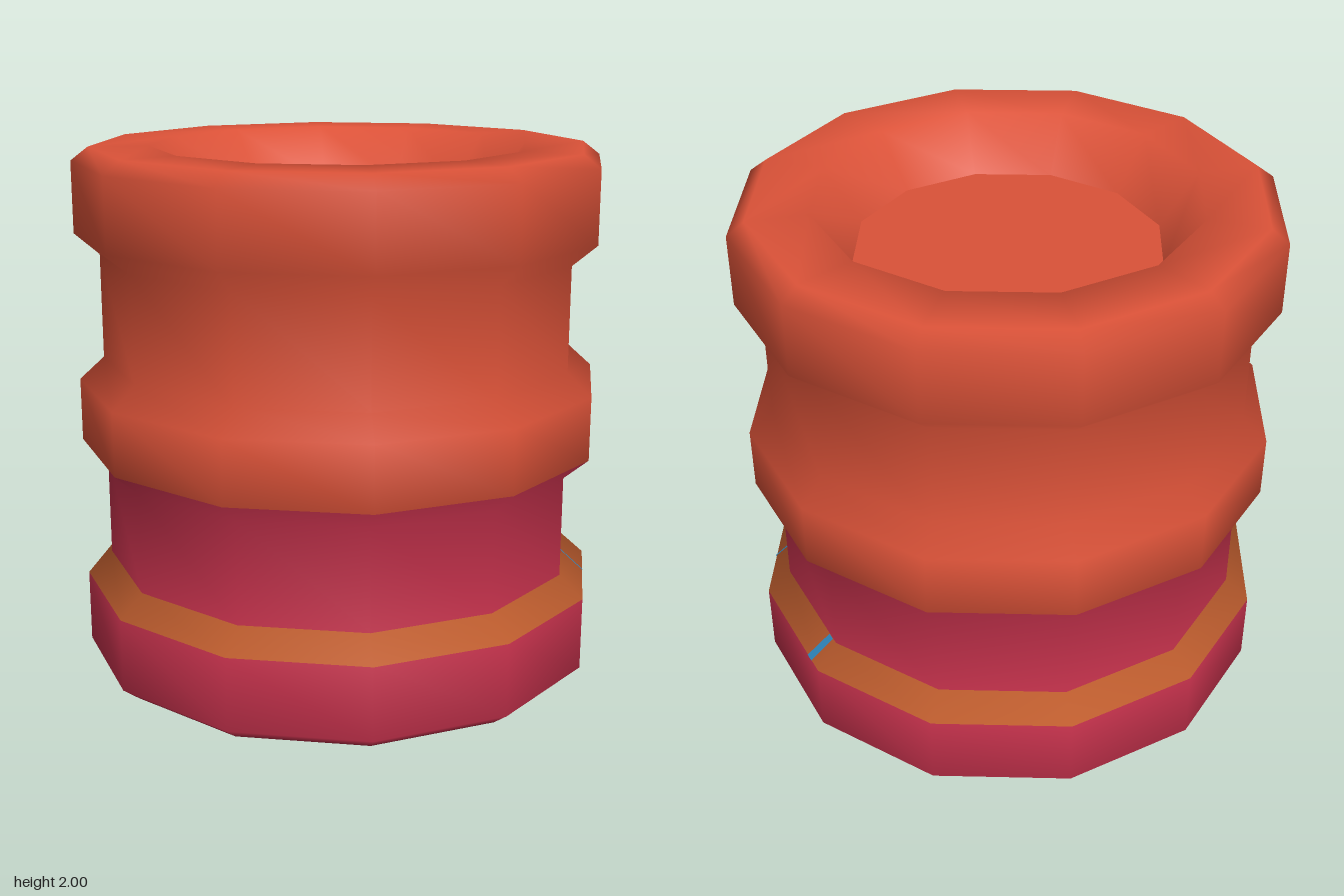
import * as THREE from 'three';

const SIDES = 12;

// Body outline from the lower recess, up the grooved wall, to the upper recess
const PROFILE = [
  [0.57, 0.2], [0.71, 0], [0.935, 0], [1, 0.05], [1, 0.33], [0.907, 0.415],
  [0.907, 0.8], [1, 0.88], [1, 1.12], [0.907, 1.205], [0.907, 1.6], [1, 1.68],
  [1, 1.95], [0.935, 2], [0.71, 2], [0.57, 1.8],
];

const paint = (name, color, side = THREE.FrontSide) => {
  const m = new THREE.MeshStandardMaterial({ color, side });
  m.name = name;
  return m;
};

export function createModel() {
  const group = new THREE.Group();
  const orange = paint('orange red', 0xdb5238);
  const crimson = paint('crimson', 0xc1304a);
  const amber = paint('burnt orange', 0xcc6432);
  const blue = paint('blue', 0x2f86bd, THREE.DoubleSide);

  const add = (name, geometry, material) => {
    const mesh = new THREE.Mesh(geometry, material);
    mesh.name = name;
    group.add(mesh);
    return mesh;
  };

  // One smooth lathe, cut into rings so that normals stay continuous across colours
  const body = new THREE.LatheGeometry(PROFILE.map(([r, y]) => new THREE.Vector2(r, y)), SIDES);
  const steps = PROFILE.length - 1;
  const ring = (from, to) => {
    const index = [];
    for (let i = 0; i < SIDES; i++) {
      for (let j = from; j < to; j++) {
        const a = i * PROFILE.length + j;
        const b = a + PROFILE.length;
        index.push(a, b, a + 1, b + 1, a + 1, b);
      }
    }
    const g = body.clone();
    g.setIndex(index);
    return g;
  };
  add('lowerBody', ring(0, 4), crimson);
  add('stripe', ring(4, 5), amber);
  add('middleGroove', ring(5, 7), crimson);
  add('upperBody', ring(7, steps), orange);

  // Flat floors of the two recesses
  const disc = (name, y, tilt, material) => {
    const g = new THREE.CircleGeometry(0.57, SIDES);
    g.rotateX(tilt);
    add(name, g, material).position.y = y;
  };
  disc('topRecessFloor', 1.8, -Math.PI / 2, orange);
  disc('bottomRecessFloor', 0.2, Math.PI / 2, crimson);

  // Small blue marks on the stripe; u runs across one facet, away from +x
  const stripePoint = (facet, u, top) => {
    const [r, y] = PROFILE[top ? 5 : 4];
    const at = (k) => {
      const t = (k * 2 * Math.PI) / SIDES;
      return new THREE.Vector3(Math.cos(t) * r, y, Math.sin(t) * r);
    };
    const p = at(facet).lerp(at(facet + 1), u);
    return p.add(new THREE.Vector3(p.x, 1, p.z).normalize().multiplyScalar(0.004));
  };
  const mark = (name, facet, low, high, width) => {
    const g = new THREE.BufferGeometry().setFromPoints([
      stripePoint(facet, low + width, false), stripePoint(facet, low, false),
      stripePoint(facet, high, true), stripePoint(facet, high + width, true),
    ]);
    g.setIndex([0, 1, 2, 0, 2, 3]);
    g.computeVertexNormals();
    add(name, g, blue);
  };
  mark('wideMark', 0, 0.12, 0.05, 0.07);
  mark('thinMark', 1, 0.41, 0.43, 0.02);

  return group;
}
